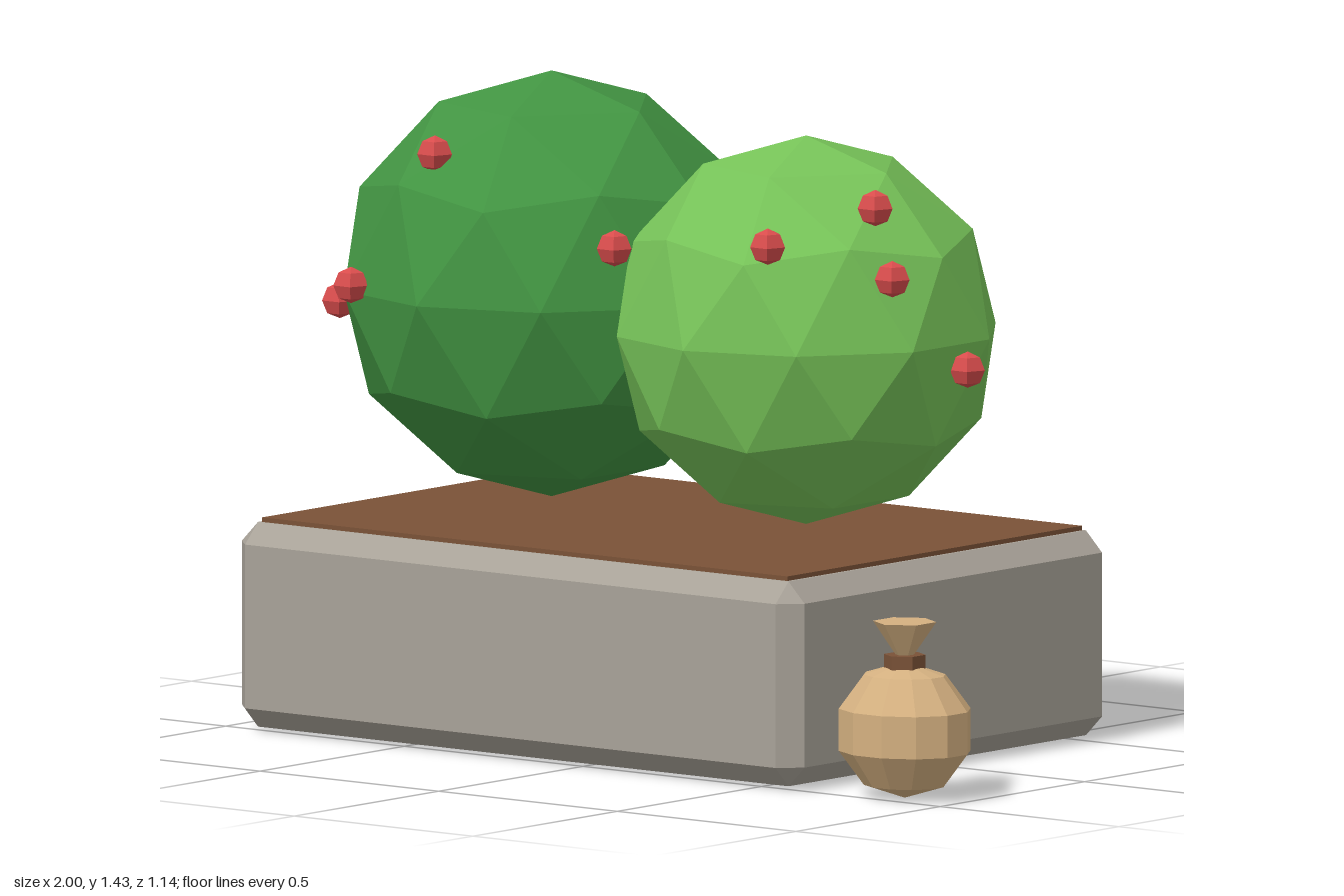
import * as THREE from 'three';
import { ConvexGeometry } from 'three/addons/geometries/ConvexGeometry.js';

function material(name, color) {
  const m = new THREE.MeshStandardMaterial({ color, flatShading: true });
  m.name = name;
  return m;
}

function addMesh(parent, name, geometry, mat, x = 0, y = 0, z = 0) {
  const mesh = new THREE.Mesh(geometry, mat);
  mesh.name = name;
  mesh.position.set(x, y, z);
  parent.add(mesh);
  return mesh;
}

// Box with all edges and corners cut at 45 degrees
function chamferedBox(w, h, d, c) {
  const points = [];
  for (const sx of [-1, 1]) for (const sy of [-1, 1]) for (const sz of [-1, 1]) {
    const x = w / 2, y = h / 2, z = d / 2;
    points.push(
      new THREE.Vector3(sx * x, sy * (y - c), sz * (z - c)),
      new THREE.Vector3(sx * (x - c), sy * y, sz * (z - c)),
      new THREE.Vector3(sx * (x - c), sy * (y - c), sz * z));
  }
  return new ConvexGeometry(points);
}

// Faceted ball with one vertex pointing straight up
function bushGeometry(radius) {
  const g = new THREE.IcosahedronGeometry(radius, 1);
  g.rotateZ(-Math.atan(2 / (1 + Math.sqrt(5))));
  return g;
}

export function createModel() {
  const model = new THREE.Group();
  model.name = 'planterWithBushes';
  const stone = material('stone', 0xa8a298);
  const soil = material('soil', 0x7a5237);
  const darkLeaf = material('darkLeaf', 0x429442);
  const lightLeaf = material('lightLeaf', 0x76c258);
  const berryRed = material('berryRed', 0xd84c4c);
  const burlap = material('burlap', 0xd4b080);

  // Stone planter and its soil
  addMesh(model, 'planter', chamferedBox(1.575, 0.45, 1.12, 0.045), stone, -0.163, 0.235, -0.01);
  addMesh(model, 'soilBed', new THREE.BoxGeometry(1.47, 0.04, 1.02), soil, -0.163, 0.45, -0.01);

  // Bushes
  addMesh(model, 'darkBush', bushGeometry(0.468), darkLeaf, -0.5, 0.964, -0.01);
  addMesh(model, 'lightBush', bushGeometry(0.427), lightLeaf, 0.172, 0.916, -0.06);

  // Berries scattered over the bushes
  const berries = new THREE.Group();
  berries.name = 'berries';
  model.add(berries);
  const berryGeometry = new THREE.SphereGeometry(0.04, 5, 4, -Math.PI / 2);
  const spots = [
    [-0.56, 1.28, 0.32], [-0.73, 0.985, 0.4], [-0.13, 1.1, 0.23],
    [-0.94, 1.1, 0.055], [-0.96, 0.985, -0.12], [-0.95, 0.95, -0.18],
    [-0.915, 0.915, 0.21], [-0.07, 1.22, -0.245], [0.475, 1.225, 0.075],
    [0.36, 1.155, 0.305], [0.555, 1.08, 0.115], [0.588, 0.86, -0.105],
  ];
  for (const [x, y, z] of spots) addMesh(berries, 'berry', berryGeometry, berryRed, x, y, z);

  // Tied sack standing beside the planter
  const sack = new THREE.Group();
  sack.name = 'sack';
  sack.position.set(0.852, 0, 0.44);
  model.add(sack);
  const body = new THREE.SphereGeometry(0.15, 12, 5);
  body.rotateY(Math.PI / 12);
  body.scale(1.07, 1, 0.94);
  addMesh(sack, 'sackBody', body, burlap, 0, 0.152, 0);
  addMesh(sack, 'sackTie', new THREE.CylinderGeometry(0.046, 0.046, 0.03, 6), soil, 0, 0.302, 0);
  addMesh(sack, 'sackRuffle', new THREE.CylinderGeometry(0.07, 0.012, 0.085, 6), burlap, 0, 0.347, 0);

  return model;
}
